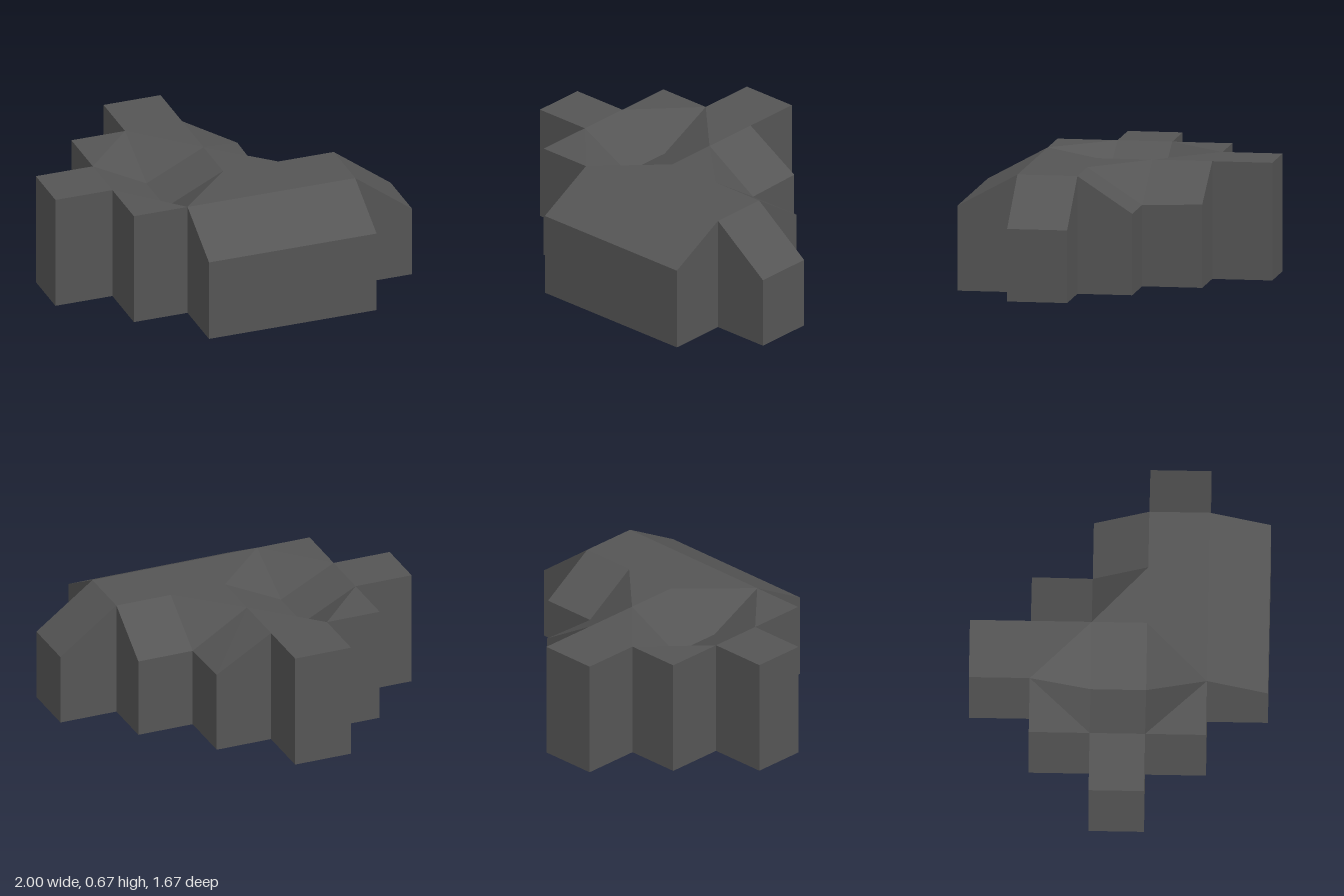
import * as THREE from 'three';

// Grid lines of the stepped plan
const X = [-1, -0.66, -0.34, 0, 0.33, 0.66, 1];
const Z = [-0.84, -0.5, -0.16, 0.15, 0.49, 0.83];

// First and last+1 column filled in each row, from back to front
const ROWS = [[2, 3], [1, 4], [0, 5], [1, 6], [2, 5]];

// Roof height at each grid corner, by row (z) and column (x)
const T = 0.665;
const HEIGHTS = [
  [T, T, T, T, T, T, T],
  [T, T, T, T, 0.47, T, T],
  [T, T, 0.5, T, 0.46, 0.46, T],
  [T, T, 0.5, T, T, T, 0.41],
  [T, T, T, T, T, T, 0.41],
  [T, T, 0.48, 0.48, 0.48, 0.48, T],
];

const filled = (i, j) => j >= 0 && j < ROWS.length && i >= ROWS[j][0] && i < ROWS[j][1];
const top = ([i, j]) => [X[i], HEIGHTS[j][i], Z[j]];
const base = ([i, j]) => [X[i], 0, Z[j]];

function makeMesh(name, points, material) {
  const geometry = new THREE.BufferGeometry();
  geometry.setAttribute('position', new THREE.Float32BufferAttribute(points.flat(), 3));
  geometry.computeVertexNormals();
  const mesh = new THREE.Mesh(geometry, material);
  mesh.name = name;
  return mesh;
}

export function createModel() {
  const group = new THREE.Group();
  group.name = 'steppedBuilding';
  const grey = new THREE.MeshStandardMaterial({ color: 0x555555 });
  grey.name = 'dark grey';

  const roof = [], walls = [], floor = [];
  ROWS.forEach(([start, end], j) => {
    for (let i = start; i < end; i++) {
      const corners = [[i, j], [i, j + 1], [i + 1, j + 1], [i + 1, j]];
      const [a, b, c, d] = corners.map(top);

      // Roof facets fold along the higher diagonal
      if (a[1] + c[1] >= b[1] + d[1]) roof.push(a, b, c, a, c, d);
      else roof.push(a, b, d, b, c, d);

      const [e, f, g, h] = corners.map(base);
      floor.push(e, g, f, e, h, g);

      // Walls only where the plan ends
      const neighbours = [[i - 1, j], [i, j + 1], [i + 1, j], [i, j - 1]];
      neighbours.forEach(([ni, nj], k) => {
        if (filled(ni, nj)) return;
        const p = corners[k], q = corners[(k + 1) % 4];
        walls.push(base(p), base(q), top(q), base(p), top(q), top(p));
      });
    }
  });

  group.add(makeMesh('roof', roof, grey));
  group.add(makeMesh('walls', walls, grey));
  group.add(makeMesh('floor', floor, grey));
  return group;
}
